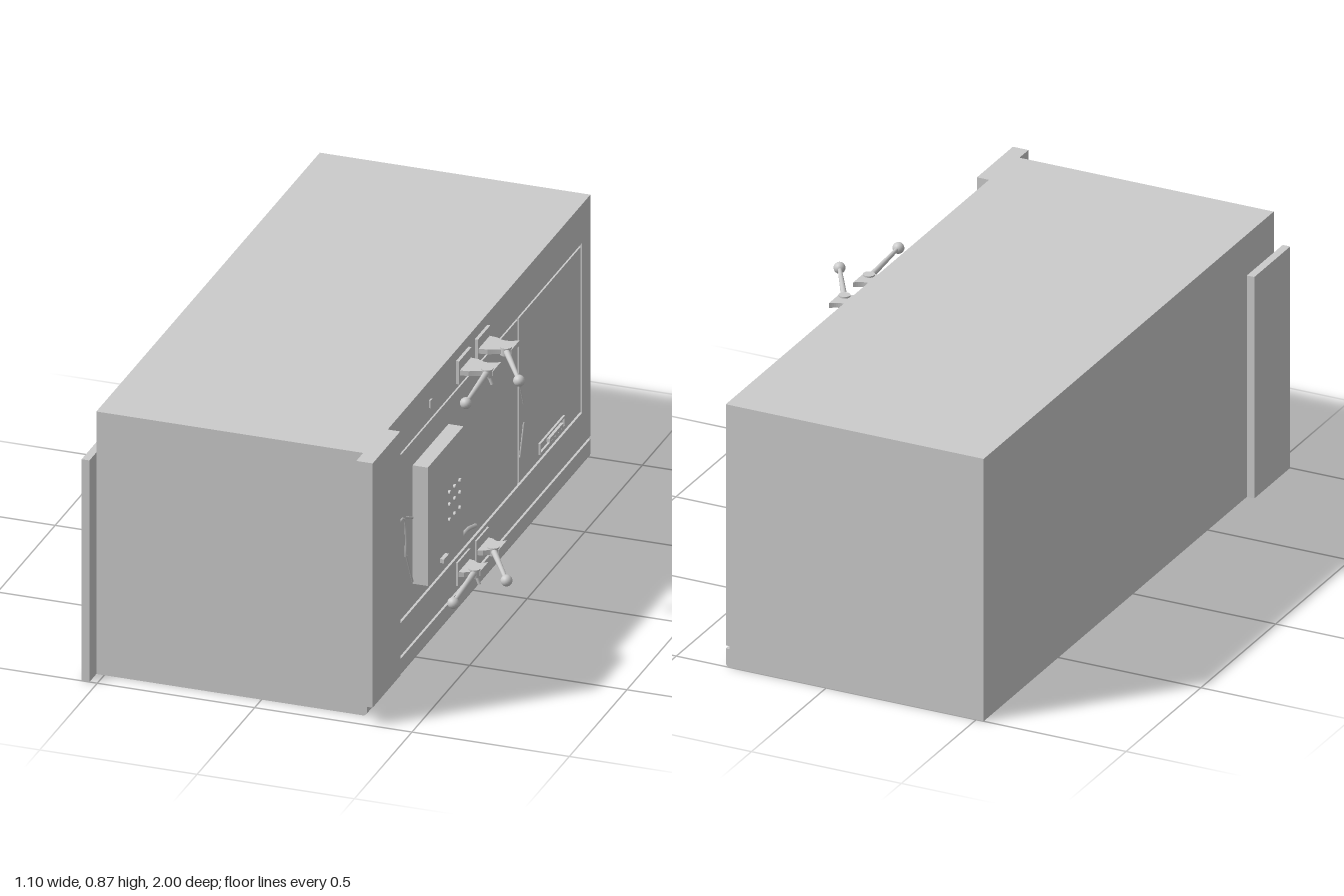
import * as THREE from 'three';

const grey = new THREE.MeshStandardMaterial({ color: 0xcccccc, side: THREE.DoubleSide });
const SIDE = 0.335; // outer plane of the door side

export function createModel() {
  const model = new THREE.Group();

  const add = (name, geometry, parent = model) => {
    const mesh = new THREE.Mesh(geometry, grey);
    mesh.name = name;
    parent.add(mesh);
    return mesh;
  };
  // box given by its limits on each axis
  const block = (name, x0, x1, y0, y1, z0, z1, parent) => {
    const mesh = add(name, new THREE.BoxGeometry(x1 - x0, y1 - y0, z1 - z0), parent);
    mesh.position.set((x0 + x1) / 2, (y0 + y1) / 2, (z0 + z1) / 2);
    return mesh;
  };
  // round bar between two points
  const rod = (name, a, b, r0, r1, parent) => {
    const dir = b.clone().sub(a);
    const mesh = add(name, new THREE.CylinderGeometry(r1, r0, dir.length(), 12), parent);
    mesh.position.copy(a).lerp(b, 0.5);
    mesh.quaternion.setFromUnitVectors(new THREE.Vector3(0, 1, 0), dir.normalize());
    return mesh;
  };
  // slim raised line on the side, points given as [z, y]
  const ridge = (name, points, r) => {
    const curve = new THREE.CatmullRomCurve3(points.map(([z, y]) => new THREE.Vector3(SIDE, y, z)));
    add(name, new THREE.TubeGeometry(curve, 16, r, 6));
  };

  // cabinet core, with a rounded lower edge on the door side
  const profile = new THREE.Shape();
  profile.moveTo(-0.525, 0);
  profile.lineTo(SIDE - 0.015, 0);
  profile.quadraticCurveTo(SIDE, 0, SIDE, 0.015);
  profile.lineTo(SIDE, 0.06);
  profile.lineTo(SIDE - 0.012, 0.06);
  profile.lineTo(SIDE - 0.012, 0.865);
  profile.lineTo(-0.525, 0.865);
  profile.closePath();
  const core = add('cabinetBody', new THREE.ExtrudeGeometry(profile, { depth: 1.94, bevelEnabled: false }));
  core.position.z = -1;

  // front corner flanges
  block('rightFlange', SIDE - 0.012, 0.375, 0.06, 0.865, 0.76, 1);
  block('leftFlange', -0.55, -0.525, 0, 0.73, 0.76, 1);

  // outer frame around the doors
  const frame = new THREE.Shape();
  frame.moveTo(-0.76, 0.07);
  frame.lineTo(1, 0.07);
  frame.lineTo(1, 0.865);
  frame.lineTo(-0.76, 0.865);
  frame.closePath();
  const opening = new THREE.Path();
  opening.moveTo(-0.757, 0.178);
  opening.lineTo(-0.757, 0.738);
  opening.lineTo(0.927, 0.738);
  opening.lineTo(0.927, 0.178);
  opening.closePath();
  frame.holes.push(opening);
  const frameMesh = add('doorFrame', new THREE.ExtrudeGeometry(frame, { depth: 0.012, bevelEnabled: false }));
  frameMesh.rotation.y = Math.PI / 2;
  frameMesh.position.x = SIDE - 0.012;

  // two doors separated by narrow gaps
  block('largeDoor', SIDE - 0.014, SIDE - 0.001, 0.187, 0.729, -0.37, 0.748);
  block('smallDoor', SIDE - 0.014, SIDE - 0.001, 0.187, 0.729, -0.918, -0.381);

  // control box with knobs
  block('controlBox', SIDE - 0.005, 0.382, 0.26, 0.65, 0.23, 0.54);
  for (const z of [0.27, 0.315, 0.36]) {
    for (const y of [0.4, 0.45, 0.49]) {
      const knob = add('controlKnob', new THREE.CylinderGeometry(0.007, 0.007, 0.01, 10));
      knob.rotation.z = Math.PI / 2;
      knob.position.set(0.384, y, z);
    }
  }
  block('controlLatch', 0.38, 0.395, 0.29, 0.303, 0.39, 0.435);

  // slim door details
  ridge('cableLoop', [[0.68, 0.37], [0.7, 0.44], [0.67, 0.51], [0.62, 0.51], [0.605, 0.44], [0.61, 0.38]], 0.004);
  ridge('boxCableUpper', [[0.61, 0.51], [0.545, 0.48]], 0.004);
  ridge('boxCableLower', [[0.6, 0.38], [0.545, 0.27]], 0.004);
  ridge('smallDoorCreaseUpper', [[-0.385, 0.51], [-0.42, 0.43]], 0.003);
  ridge('smallDoorCreaseLower', [[-0.42, 0.37], [-0.385, 0.27]], 0.003);
  ridge('largeDoorPull', [[0.165, 0.228], [0.08, 0.234], [0.0, 0.215]], 0.007);

  // framed pull on the small door
  for (const y of [0.205, 0.236]) block('pullRim', SIDE - 0.003, 0.341, y, y + 0.006, -0.765, -0.55);
  for (const z of [-0.765, -0.556]) block('pullRim', SIDE - 0.003, 0.341, 0.205, 0.242, z, z + 0.006);
  block('pullBar', SIDE - 0.003, 0.345, 0.217, 0.229, -0.74, -0.62);
  block('frameButton', SIDE, 0.34, 0.777, 0.803, 0.385, 0.4);

  // waisted latch bracket outline, in x and z
  const bracketGeometry = (length) => {
    const s = new THREE.Shape();
    s.moveTo(0, -0.05);
    s.lineTo(length * 0.35, -0.045);
    s.quadraticCurveTo(length * 0.65, -0.02, length, -0.05);
    s.lineTo(length, 0.02);
    s.quadraticCurveTo(length * 0.65, 0.03, length * 0.35, 0.045);
    s.lineTo(0, 0.05);
    s.closePath();
    return new THREE.ExtrudeGeometry(s, { depth: 0.016, bevelEnabled: false }).rotateX(Math.PI / 2);
  };

  // two rows of lever latches, the upper row standing further out
  for (const [row, y, out] of [['upper', 0.79, 0.04], ['lower', 0.125, 0]]) {
    for (const [z, ballX, ballZ] of [[0.113, 0.395, 0.355], [-0.05, 0.49, 0.152]]) {
      const latch = new THREE.Group();
      latch.name = row + 'Latch';
      model.add(latch);
      block('latchPlate', SIDE - 0.005, 0.341 + out * 0.1, y - 0.036, y + 0.04, z - 0.054, z + 0.054, latch);
      const bracket = add('latchBracket', bracketGeometry(0.065 + out), latch);
      bracket.position.set(SIDE, y + 0.008, z);
      const pivot = new THREE.Vector3(0.38 + out, y, z + 0.015);
      const tip = new THREE.Vector3(ballX + out, y, ballZ);
      const hub = add('latchHub', new THREE.CylinderGeometry(0.018, 0.018, 0.026, 16), latch);
      hub.position.copy(pivot);
      rod('latchLever', pivot, tip, 0.01, 0.006, latch);
      add('leverBall', new THREE.SphereGeometry(0.018, 16, 12), latch).position.copy(tip);
      rod('latchPin', pivot, pivot.clone().add(new THREE.Vector3(0.015, -0.038, 0)), 0.005, 0.005, latch);
    }
  }

  return model;
}
